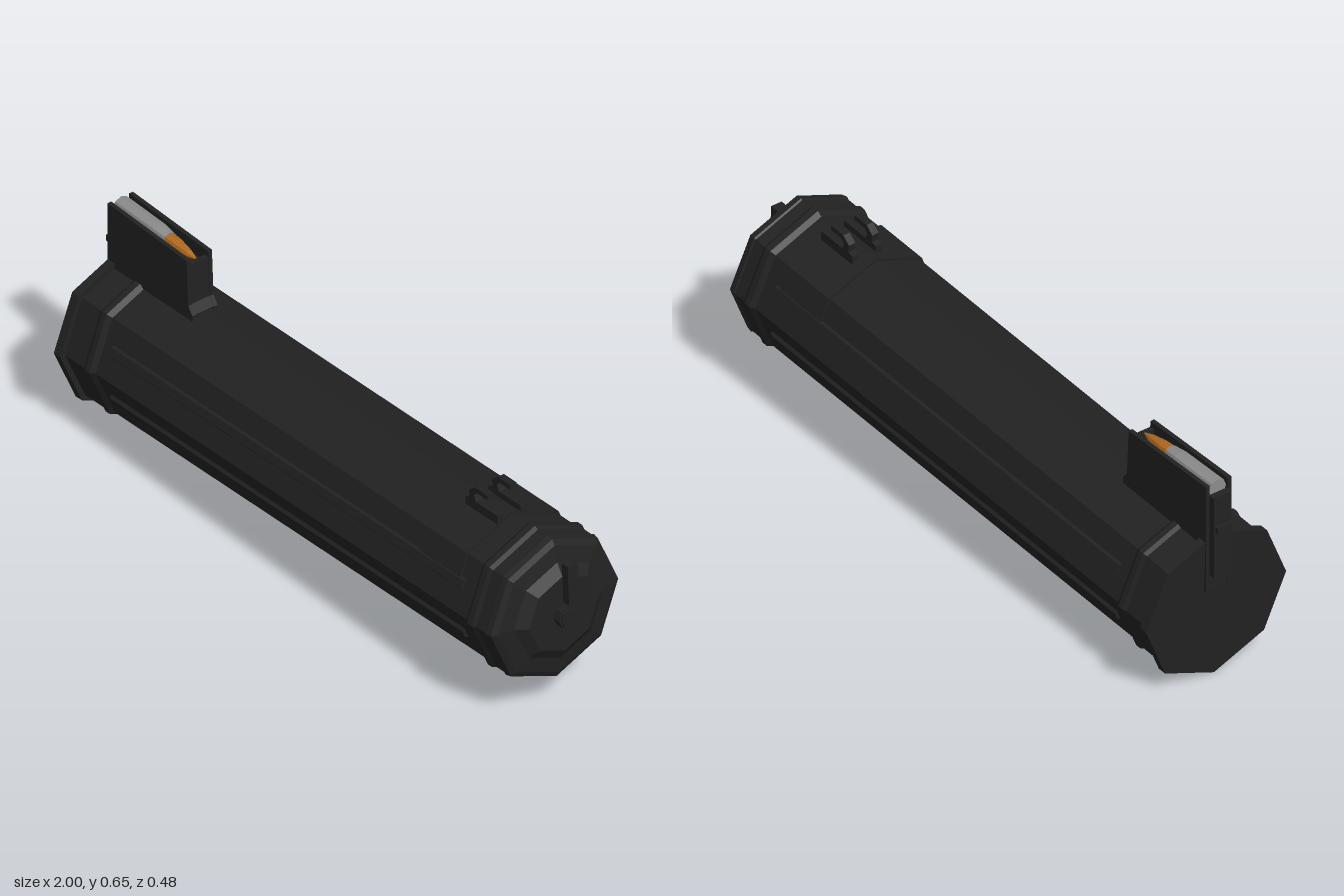
import * as THREE from 'three';

const darkPolymer = new THREE.MeshStandardMaterial({ color: 0x222222 });
const steel = new THREE.MeshStandardMaterial({ color: 0x8c8c8c });
const copper = new THREE.MeshStandardMaterial({ color: 0xb0691f });

// Mesh with crisp faceted normals
function part(name, geometry, material = darkPolymer) {
  const geo = geometry.index ? geometry.toNonIndexed() : geometry;
  geo.computeVertexNormals();
  const mesh = new THREE.Mesh(geo, material);
  mesh.name = name;
  return mesh;
}

// Eight-sided turned solid along x, with a corner pointing up; profile is [x, radius]
function turned(name, profile, material) {
  const geo = new THREE.LatheGeometry(profile.map(([x, r]) => new THREE.Vector2(r, x)), 8);
  geo.rotateZ(-Math.PI / 2);
  return part(name, geo, material);
}

function extrude(points, depth) {
  const shape = new THREE.Shape(points.map(([x, y]) => new THREE.Vector2(x, y)));
  return new THREE.ExtrudeGeometry(shape, { depth, bevelEnabled: false });
}

// Cross-section in (-z, y), running from x0 to x1
function alongX(name, points, x0, x1) {
  return part(name, extrude(points, x1 - x0).rotateY(Math.PI / 2).translate(x0, 0, 0));
}

// Side outline in (x, y), running from z0 to z1
function alongZ(name, points, z0, z1) {
  return part(name, extrude(points, z1 - z0).translate(0, 0, z0));
}

function box(name, x0, x1, y0, y1, z0, z1) {
  const geo = new THREE.BoxGeometry(x1 - x0, y1 - y0, z1 - z0);
  return part(name, geo.translate((x0 + x1) / 2, (y0 + y1) / 2, (z0 + z1) / 2));
}

function createDrum() {
  const drum = new THREE.Group();
  drum.name = 'drum';
  drum.position.y = 0.2835;
  drum.rotation.z = 0.043;

  // Octagonal shell with rear flange, raised bands and stepped end cap
  drum.add(turned('shell', [
    [-0.96, 0], [-0.96, 0.24], [-0.932, 0.24], [-0.932, 0.223],
    [-0.85, 0.223], [-0.838, 0.229], [-0.82, 0.229], [-0.805, 0.218],
    [0.815, 0.218], [0.83, 0.229], [0.85, 0.229], [0.862, 0.222],
    [0.9, 0.222], [0.905, 0.226], [0.925, 0.222], [0.934, 0.205],
    [0.943, 0.155], [0.965, 0.12], [0.965, 0],
  ]));

  // Long ribs on every face except the two on top
  for (let i = 1; i <= 6; i++) {
    const rib = alongX('rib' + i,
      [[-0.021, 0.195], [0.021, 0.195], [0.012, 0.211], [-0.012, 0.211]], -0.77, 0.77);
    rib.rotation.x = (i + 0.5) * Math.PI / 4;
    drum.add(rib);
  }

  // Saddle plate over the top near the end cap
  const R = 0.225, s = R * Math.SQRT1_2;
  const half = [[(s + R) / 2, s / 2], [s, s]];
  drum.add(alongX('saddle',
    [...half, [0, R], ...half.map(([x, y]) => [-x, y]).reverse()], 0.57, 0.75));

  // Winding key: round hub with a J-shaped lever
  drum.add(turned('keyHub', [[0.96, 0.03], [0.997, 0.03], [0.997, 0]]));
  drum.add(alongX('keyLever', [
    [0, 0.162], [0, 0.037], [-0.025, 0.025], [-0.036, 0], [-0.025, -0.025],
    [0, -0.036], [0.025, -0.025], [0.036, 0], [0.036, 0.162],
  ], 0.963, 0.99));
  return drum;
}

function createFeedTower() {
  const tower = new THREE.Group();
  tower.name = 'feedTower';

  // Side walls rising into feed lips
  const wall = [[-0.97, 0.3], [-0.6, 0.3], [-0.6, 0.475], [-0.618, 0.5], [-0.625, 0.645], [-0.97, 0.649]];
  tower.add(alongZ('leftFeedWall', wall, 0.031, 0.044));
  tower.add(alongZ('rightFeedWall', wall, -0.044, -0.031));

  // Filled core, end walls and rear spine
  tower.add(alongZ('core',
    [[-0.968, 0.3], [-0.602, 0.3], [-0.602, 0.475], [-0.62, 0.5], [-0.625, 0.605], [-0.968, 0.605]], -0.031, 0.031));
  tower.add(box('frontWall', -0.64, -0.625, 0.55, 0.626, -0.031, 0.031));
  tower.add(box('rearSpine', -0.988, -0.966, 0.35, 0.615, -0.03, 0.03));
  tower.add(box('rearCatch', -1, -0.985, 0.5, 0.52, -0.025, 0.025));

  // Top round held between the lips
  const round = new THREE.Group();
  round.name = 'round';
  round.position.y = 0.626;
  round.add(turned('case', [[-0.966, 0], [-0.966, 0.029], [-0.8, 0.028], [-0.755, 0.023], [-0.755, 0]], steel));
  round.add(turned('bullet', [[-0.765, 0.022], [-0.72, 0.02], [-0.67, 0.012], [-0.641, 0.003], [-0.641, 0]], copper));
  tower.add(round);
  return tower;
}

export function createModel() {
  const model = new THREE.Group();
  model.name = 'drumMagazine';
  model.add(createDrum(), createFeedTower());

  // Pair of hooks on the saddle
  const hook = [
    [0.6, 0.48], [0.74, 0.48], [0.74, 0.548], [0.645, 0.543], [0.637, 0.562],
    [0.65, 0.574], [0.695, 0.576], [0.695, 0.591], [0.64, 0.589], [0.615, 0.568], [0.618, 0.545], [0.6, 0.54],
  ];
  model.add(alongZ('leftHook', hook, 0.029, 0.051));
  model.add(alongZ('rightHook', hook, -0.051, -0.029));
  return model;
}
